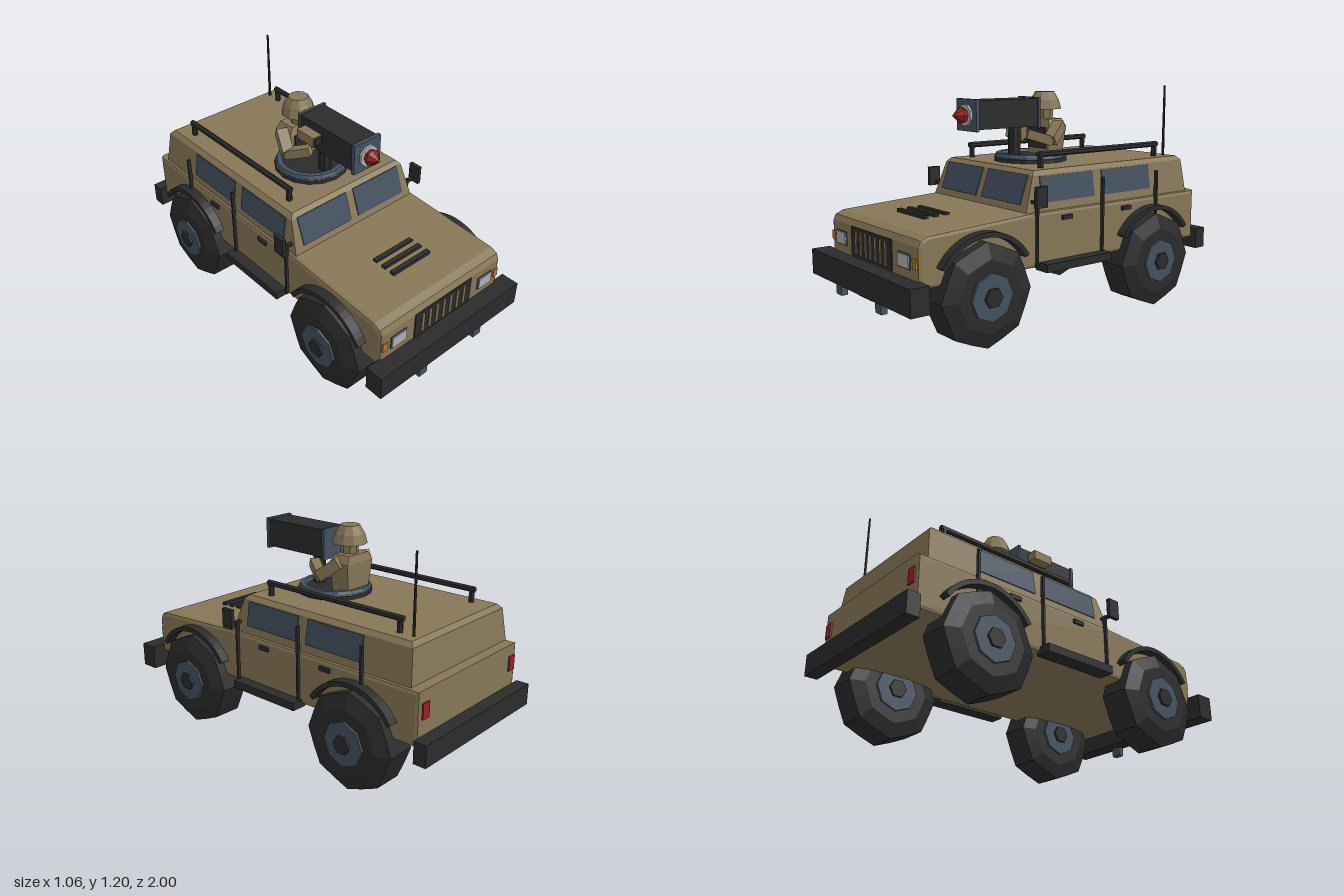
import * as THREE from 'three';

const mat = (name, color) => Object.assign(new THREE.MeshStandardMaterial({ color }), { name });

export function createModel() {
  const tan = mat('desert tan', 0x877757), dark = mat('charcoal', 0x2b2b2c), slate = mat('slate blue', 0x445160);
  const silver = mat('light grey', 0xaeb0b2), amber = mat('amber', 0xb57a2c), red = mat('red', 0x94222a);
  const model = new THREE.Group();
  model.name = 'armouredTruck';

  // faceted mesh added to the model
  const add = (name, geo, material, x = 0, y = 0, z = 0, rx = 0, ry = 0, rz = 0) => {
    const g = geo.index ? geo.toNonIndexed() : geo;
    g.computeVertexNormals();
    const m = new THREE.Mesh(g, material);
    m.name = name;
    m.position.set(x, y, z);
    m.rotation.set(rx, ry, rz);
    model.add(m);
    return m;
  };
  // box from its limits on each axis
  const box = (name, material, [x0, x1], [y0, y1], [z0, z1]) =>
    add(name, new THREE.BoxGeometry(Math.abs(x1 - x0), y1 - y0, z1 - z0), material, (x0 + x1) / 2, (y0 + y1) / 2, (z0 + z1) / 2);
  const cyl = (r0, r1, h, n) => new THREE.CylinderGeometry(r0, r1, h, n);
  // closed skin over rings running counterclockwise around the loft axis
  const loft = (rings) => {
    const n = rings[0].length, idx = [], last = (rings.length - 1) * n;
    for (let i = 0; i < rings.length - 1; i++) for (let j = 0; j < n; j++) {
      const a = i * n + j, b = i * n + (j + 1) % n;
      idx.push(a, b, b + n, a, b + n, a + n);
    }
    for (let j = 1; j < n - 1; j++) idx.push(0, j + 1, j, last, last + j, last + j + 1);
    const g = new THREE.BufferGeometry();
    g.setAttribute('position', new THREE.Float32BufferAttribute(rings.flat(2), 3));
    g.setIndex(idx);
    return g;
  };
  const slab = (y, w, zf, zb) => [[-w, y, zf], [w, y, zf], [w, y, zb], [-w, y, zb]];
  // square bar between two points
  const limb = (name, material, a, b, w) => {
    const p = new THREE.Vector3(...a), q = new THREE.Vector3(...b);
    const m = add(name, new THREE.BoxGeometry(w, w, p.distanceTo(q)), material, ...p.clone().lerp(q, 0.5).toArray());
    m.lookAt(q);
  };

  // lower body: side profile (z, y) extruded across the width
  const profile = new THREE.Shape([
    [-0.93, 0.33], [0.9, 0.33], [0.915, 0.38], [0.915, 0.53], [0.9, 0.56], [0.86, 0.578], [0.28, 0.61], [-0.93, 0.61],
  ].map(([z, y]) => new THREE.Vector2(z, y)));
  const hull = new THREE.ExtrudeGeometry(profile, {
    depth: 0.81, bevelEnabled: true, bevelThickness: 0.02, bevelSize: 0.02, bevelOffset: -0.02, bevelSegments: 2,
  });
  hull.translate(0, 0, -0.405).rotateY(-Math.PI / 2);
  add('body', hull, tan);

  // cabin and its glass
  add('cabin', loft([slab(0.6, 0.41, 0.295, -0.875), slab(0.785, 0.383, 0.23, -0.857), slab(0.808, 0.362, 0.208, -0.835)]), tan);
  for (const s of [-1, 1]) {
    add('windshield', new THREE.BoxGeometry(0.325, 0.154, 0.009), slate, s * 0.187, 0.714, 0.256, -0.338);
    for (const z of [0.012, -0.405])
      add('sideWindow', new THREE.BoxGeometry(0.009, 0.132, 0.355), slate, s * 0.394, 0.714, z, 0, 0, s * 0.145);
  }

  // nose: grille, hood vents, bumpers
  box('grille', dark, [-0.2, 0.2], [0.38, 0.53], [0.9, 0.921]);
  for (let i = -3; i <= 3; i++) box('grilleSlat', tan, [i * 0.049 - 0.009, i * 0.049 + 0.009], [0.395, 0.515], [0.92, 0.925]);
  for (const z of [0.565, 0.625, 0.685]) box('hoodVent', dark, [-0.13, 0.13], [0.58, 0.605], [z - 0.013, z + 0.013]);
  box('frontBumper', dark, [-0.497, 0.497], [0.24, 0.372], [0.9, 1]);
  box('rearBumper', dark, [-0.455, 0.455], [0.27, 0.385], [-1, -0.93]);

  // fender arch, lying in the side plane
  const arch = new THREE.Shape();
  arch.absarc(0, 0, 0.293, 0.56, Math.PI - 0.56, false);
  arch.absarc(0, 0, 0.268, Math.PI - 0.56, 0.56, true);
  const archGeo = new THREE.ExtrudeGeometry(arch, { depth: 0.06, bevelEnabled: false, curveSegments: 8 });
  archGeo.translate(0, 0, -0.03).rotateY(-Math.PI / 2);

  // lumpy low-sided tyre around the x axis
  const tyreRing = (x, r) => Array.from({ length: 16 }, (_, i) => {
    const a = i * Math.PI / 8, q = i % 2 ? r * 0.935 : r;
    return [x, q * Math.cos(a), q * Math.sin(a)];
  });
  const tyre = loft([tyreRing(-0.105, 0.18), tyreRing(-0.08, 0.257), tyreRing(0.075, 0.257), tyreRing(0.105, 0.18)]);
  const hub = cyl(0.118, 0.118, 0.235, 8).rotateZ(Math.PI / 2);
  const cap = cyl(0.05, 0.05, 0.26, 6).rotateZ(Math.PI / 2);

  for (const s of [-1, 1]) {
    const X = (a, b) => [s * a, s * b];
    for (const z of [0.572, -0.566]) {
      add('tyre', tyre, dark, s * 0.4, 0.262, z, 0, s < 0 ? Math.PI : 0);
      add('wheelHub', hub, slate, s * 0.4, 0.262, z);
      add('hubCap', cap, dark, s * 0.4, 0.262, z);
      add('fenderArch', archGeo, dark, s * 0.447, 0.27, z);
    }
    // lights and tow hooks
    box('headlightFrame', slate, X(0.258, 0.362), [0.417, 0.489], [0.9, 0.92]);
    box('headlight', silver, X(0.263, 0.357), [0.422, 0.484], [0.919, 0.926]);
    box('turnSignal', amber, X(0.382, 0.414), [0.427, 0.476], [0.89, 0.92]);
    box('tailLight', red, X(0.35, 0.4), [0.468, 0.548], [-0.938, -0.92]);
    box('towHook', slate, X(0.173, 0.228), [0.19, 0.245], [0.963, 0.997]);
    // doors
    for (const [z, y0, y1] of [[0.24, 0.34, 0.67], [-0.2, 0.34, 0.748], [-0.605, 0.5, 0.748]])
      box('doorSeam', dark, X(0.421, 0.44), [y0, y1], [z - 0.006, z + 0.006]);
    for (const z of [0.043, -0.377]) box('doorHandle', dark, X(0.42, 0.438), [0.556, 0.578], [z - 0.033, z + 0.033]);
    box('sideStep', dark, X(0.4, 0.487), [0.315, 0.357], [-0.218, 0.22]);
    box('mirrorArm', dark, X(0.39, 0.47), [0.653, 0.668], [0.238, 0.256]);
    box('mirror', dark, X(0.467, 0.489), [0.642, 0.747], [0.22, 0.288]);
    // roof rails
    add('roofRail', cyl(0.016, 0.016, 0.87, 6), dark, s * 0.3, 0.876, -0.306, Math.PI / 2);
    for (const z of [0.112, -0.722]) add('railPost', cyl(0.016, 0.016, 0.08, 6), dark, s * 0.3, 0.842, z);
  }

  // antenna
  add('antenna', cyl(0.006, 0.008, 0.4, 6), dark, 0.3, 1.003, -0.8);

  // turret ring and weapon post
  add('turretBase', cyl(0.195, 0.2, 0.035, 16), dark, 0, 0.818, -0.065);
  add('turretRing', new THREE.TorusGeometry(0.172, 0.026, 6, 16), slate, 0, 0.829, -0.065, Math.PI / 2);
  add('mountPost', cyl(0.032, 0.035, 0.19, 8), dark, 0, 0.92, 0.045);

  // launcher
  box('launcher', dark, [-0.08, 0.08], [0.995, 1.143], [-0.055, 0.342]);
  box('launcherFront', slate, [-0.088, 0.088], [0.985, 1.15], [0.335, 0.355]);
  box('launcherBack', slate, [-0.088, 0.088], [0.985, 1.15], [-0.065, -0.05]);
  add('muzzleRing', cyl(0.058, 0.058, 0.02, 8), silver, 0, 1.067, 0.358, Math.PI / 2, Math.PI / 8);
  add('missileBody', cyl(0.044, 0.036, 0.025, 8), red, 0, 1.067, 0.378, Math.PI / 2);
  add('missileTip', new THREE.ConeGeometry(0.044, 0.052, 8), red, 0, 1.067, 0.416, Math.PI / 2);
  box('sight', tan, [-0.15, -0.093], [1.062, 1.113], [0, 0.125]);
  box('sightLens', dark, [-0.144, -0.099], [1.067, 1.108], [0.124, 0.13]);
  box('sightBracket', dark, [-0.095, -0.078], [1.075, 1.1], [0.04, 0.09]);

  // gunner
  add('gunnerTorso', loft([slab(0.83, 0.08, -0.12, -0.225), slab(0.99, 0.1, -0.115, -0.235), slab(1.03, 0.075, -0.13, -0.225)]), tan);
  box('gunnerVest', dark, [-0.072, 0.072], [0.87, 0.985], [-0.118, -0.108]);
  add('gunnerHead', cyl(0.052, 0.045, 0.09, 8), tan, 0, 1.06, -0.163);
  add('helmetBrim', cyl(0.078, 0.092, 0.05, 10), tan, 0, 1.107, -0.165);
  add('helmetCrown', cyl(0.052, 0.078, 0.045, 10), tan, 0, 1.154, -0.165);
  for (const s of [-1, 1]) {
    limb('upperArm', tan, [s * 0.105, 1.0, -0.185], [s * 0.145, 0.92, -0.085], 0.06);
    limb('forearm', tan, [s * 0.148, 0.918, -0.1], [s * 0.075, 0.96, 0.015], 0.05);
  }
  return model;
}
